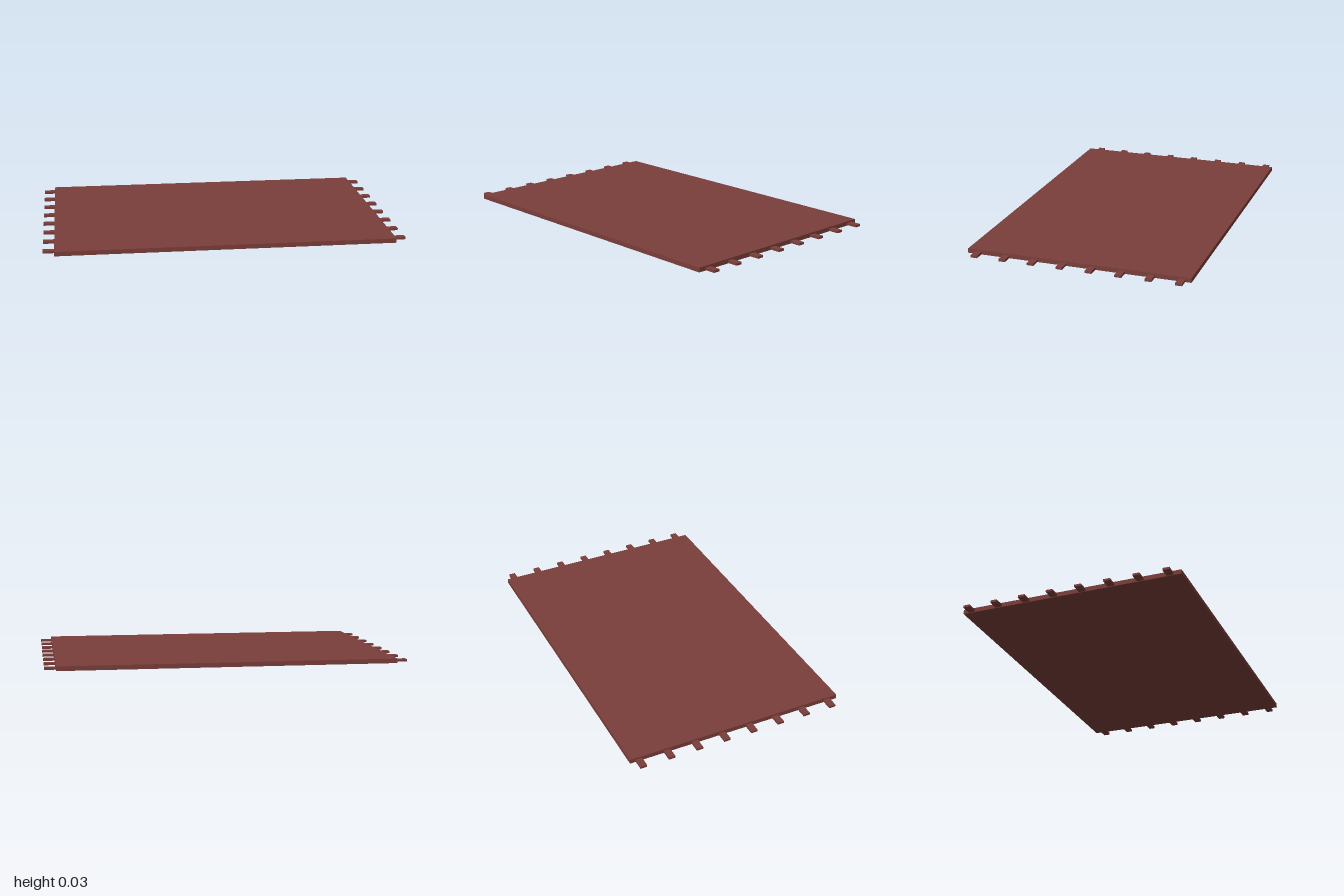
import * as THREE from 'three';

export function createModel() {
  const model = new THREE.Group();
  model.name = 'rug';
  const material = new THREE.MeshStandardMaterial({ color: 0x7a3e3a });

  const addBox = (name, size, position) => {
    const mesh = new THREE.Mesh(new THREE.BoxGeometry(...size), material);
    mesh.name = name;
    mesh.position.set(...position);
    model.add(mesh);
  };

  // Flat woven body
  addBox('rugBody', [1.875, 0.025, 1.25], [0, 0.0125, 0]);

  // Fringe of eight tassels along each short end
  for (const side of [-1, 1]) {
    for (let i = 0; i < 8; i++) {
      addBox(
        `${side > 0 ? 'left' : 'right'}Tassel${i + 1}`,
        [0.0625, 0.0125, 0.0375],
        [side * 0.96875, 0.0094, -0.575 + i * 0.1625],
      );
    }
  }
  return model;
}
